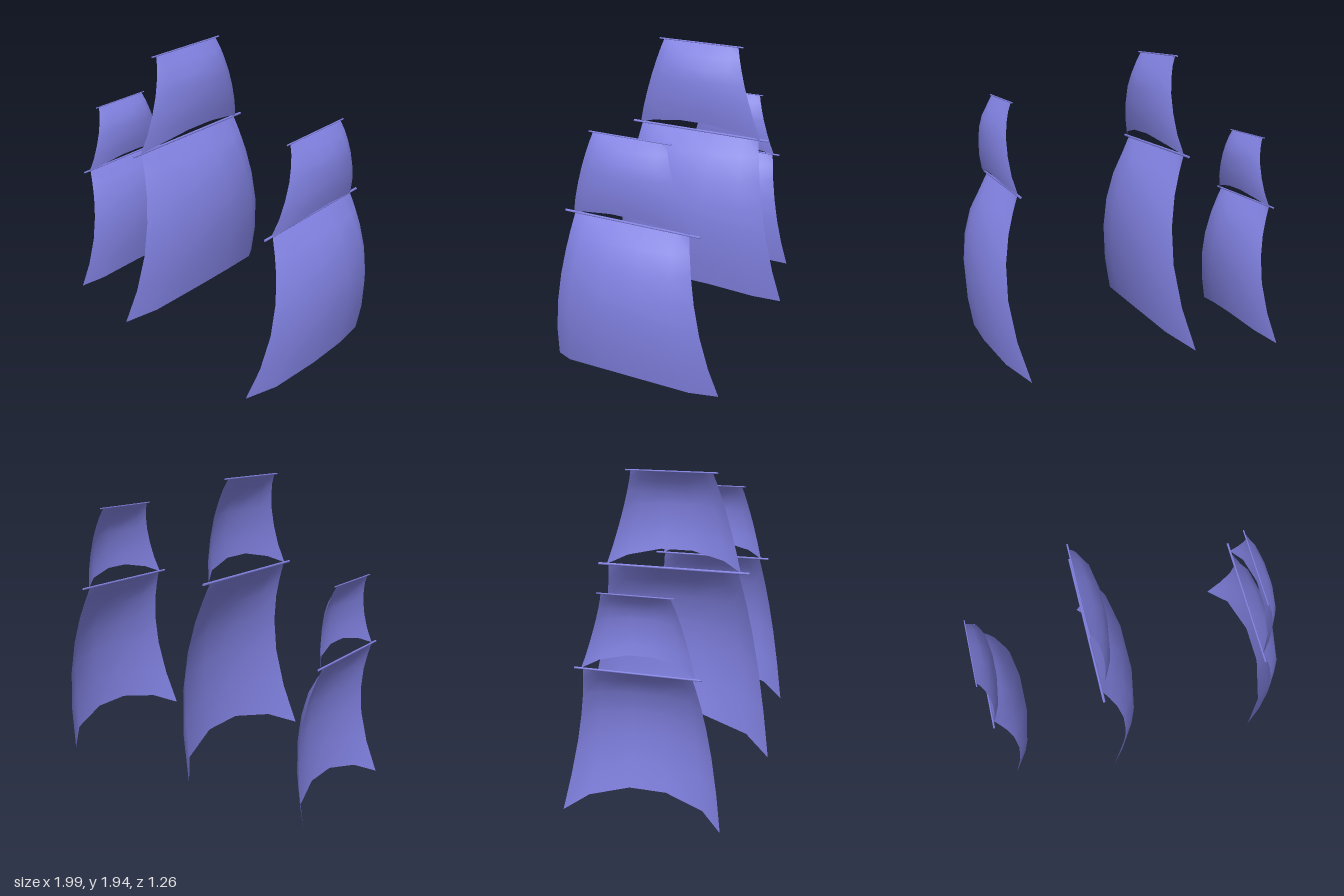
import * as THREE from 'three';

// Per row from head to foot: [forward bulge, drop as a fraction of sail height]
const LOWER = {
  centre: [[0, 0], [0.112, 0.089], [0.192, 0.196], [0.24, 0.345], [0.255, 0.503], [0.24, 0.698], [0.202, 0.876]],
  edge: [[0, 0], [0.04, 0.09], [0.08, 0.2], [0.112, 0.355], [0.117, 0.545], [0.078, 0.77], [0, 1]],
};
const UPPER = {
  centre: [[0, 0], [0.064, 0.115], [0.107, 0.24], [0.128, 0.365], [0.133, 0.54], [0.128, 0.69], [0.112, 0.84]],
  edge: [[0, 0], [0.025, 0.1], [0.043, 0.22], [0.057, 0.38], [0.058, 0.58], [0.046, 0.79], [0.016, 1]],
};

// Across the sail: [position, share of bulge, share of foot lift]
const COLUMNS = [[-1, 0, 0], [-0.75, 0.64, 0.55], [-0.25, 1, 1], [0.25, 1, 1], [0.75, 0.64, 0.55], [1, 0, 0]];

function sailGeometry(profile, height, topHalf, footHalf, scale) {
  const pos = [], index = [], n = COLUMNS.length, mix = THREE.MathUtils.lerp;
  profile.centre.forEach(([cx, cy], r) => {
    const [ex, ey] = profile.edge[r];
    for (const [u, bulge, lift] of COLUMNS) {
      const drop = mix(ey, cy, lift);
      pos.push(mix(ex, cx, bulge) * scale, -drop * height, u * mix(topHalf, footHalf, drop));
    }
    if (r === 0) return;
    for (let c = 0; c < n - 1; c++) {
      const a = (r - 1) * n + c, b = a + n;
      index.push(a, a + 1, b, a + 1, b + 1, b);
    }
  });
  const g = new THREE.BufferGeometry();
  g.setAttribute('position', new THREE.Float32BufferAttribute(pos, 3));
  g.setIndex(index);
  g.computeVertexNormals();
  return g;
}

export function createModel() {
  const model = new THREE.Group();
  const cloth = new THREE.MeshStandardMaterial({ color: 0x8080e0, side: THREE.DoubleSide });
  cloth.name = 'periwinkle';

  // One sail hanging from its yard
  function addSail(parent, name, profile, s) {
    const group = new THREE.Group();
    group.name = name;
    group.position.set(s.x, s.top, 0);
    const sail = new THREE.Mesh(sailGeometry(profile, s.top - s.foot, s.topHalf, s.footHalf, s.scale), cloth);
    sail.name = name + 'Cloth';
    const yard = new THREE.Mesh(new THREE.CylinderGeometry(s.radius, s.radius, s.yardHalf * 2, 8), cloth);
    yard.name = name + 'Yard';
    yard.rotation.x = Math.PI / 2;
    group.add(sail, yard);
    parent.add(group);
  }

  // Three masts' worth of sails, each a lower sail and a topsail
  const masts = [
    { name: 'smallSails', scale: 0.766,
      lower: { x: -0.99, top: 0.932, foot: 0.005, topHalf: 0.316, footHalf: 0.48, yardHalf: 0.368 },
      upper: { x: -0.995, top: 1.38, foot: 0.932, topHalf: 0.194, footHalf: 0.328, yardHalf: 0.218 } },
    { name: 'tallSails', scale: 1,
      lower: { x: -0.28, top: 1.347, foot: 0.138, topHalf: 0.415, footHalf: 0.632, yardHalf: 0.482 },
      upper: { x: -0.293, top: 1.942, foot: 1.347, topHalf: 0.253, footHalf: 0.428, yardHalf: 0.285 } },
    { name: 'middleSails', scale: 0.89,
      lower: { x: 0.768, top: 1.177, foot: 0.086, topHalf: 0.36, footHalf: 0.555, yardHalf: 0.425 },
      upper: { x: 0.752, top: 1.698, foot: 1.177, topHalf: 0.222, footHalf: 0.37, yardHalf: 0.248 } },
  ];
  for (const { name, scale, lower, upper } of masts) {
    const group = new THREE.Group();
    group.name = name;
    addSail(group, 'lowerSail', LOWER, { ...lower, scale, radius: 0.008 * scale });
    addSail(group, 'topSail', UPPER, { ...upper, scale, radius: 0.005 * scale });
    model.add(group);
  }
  return model;
}
